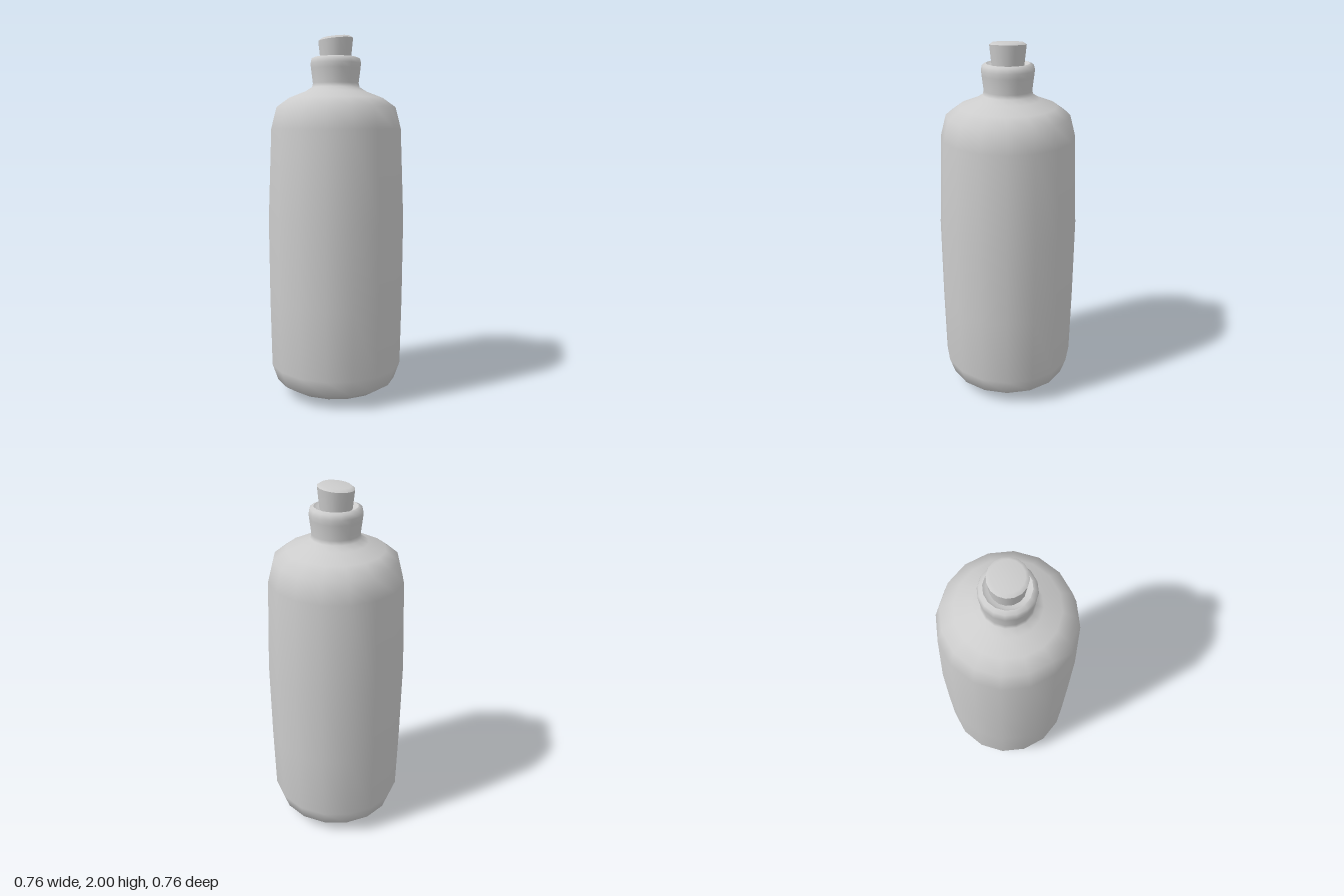
import * as THREE from 'three';

const SIDES = 16;
const material = new THREE.MeshStandardMaterial({ color: 0xcccccc, side: THREE.DoubleSide });

// Revolve a profile of [radius, height] pairs, listed from the bottom up
function turned(name, profile) {
  const points = profile.map(([r, y]) => new THREE.Vector2(r, y));
  const mesh = new THREE.Mesh(new THREE.LatheGeometry(points, SIDES), material);
  mesh.name = name;
  return mesh;
}

// Tilt the upper end of the stopper, as if cut slightly askew
function skewTop(mesh) {
  const p = mesh.geometry.attributes.position;
  for (let i = 0; i < p.count; i++) {
    if (p.getY(i) > 1.95) p.setY(i, p.getY(i) + 0.066 * (p.getX(i) + p.getZ(i)));
  }
  return mesh;
}

export function createModel() {
  const model = new THREE.Group();
  model.name = 'bottle';

  // Base, belly, rounded shoulder and start of the neck
  model.add(turned('body', [
    [0, 0], [0.275, 0.038], [0.338, 0.078], [0.37, 0.17], [0.377, 0.55], [0.38, 1.0],
    [0.36, 1.5], [0.33, 1.615], [0.26, 1.665], [0.17, 1.7], [0.133, 1.723], [0.127, 1.745],
    [0.137, 1.825], [0.14, 1.852], [0.134, 1.877], [0.114, 1.886],
  ]));

  // Inner edge of the mouth, sloping in to the stopper
  model.add(turned('mouth', [[0.114, 1.886], [0.1, 1.876], [0.075, 1.87]]));

  // Tapered stopper with a bevelled, skewed top
  const stopper = new THREE.Group();
  stopper.name = 'stopper';
  stopper.add(
    skewTop(turned('stopperSide', [[0.082, 1.85], [0.096, 1.979]])),
    skewTop(turned('stopperTop', [[0.096, 1.979], [0.078, 1.992], [0, 1.992]])),
  );
  model.add(stopper);

  return model;
}
